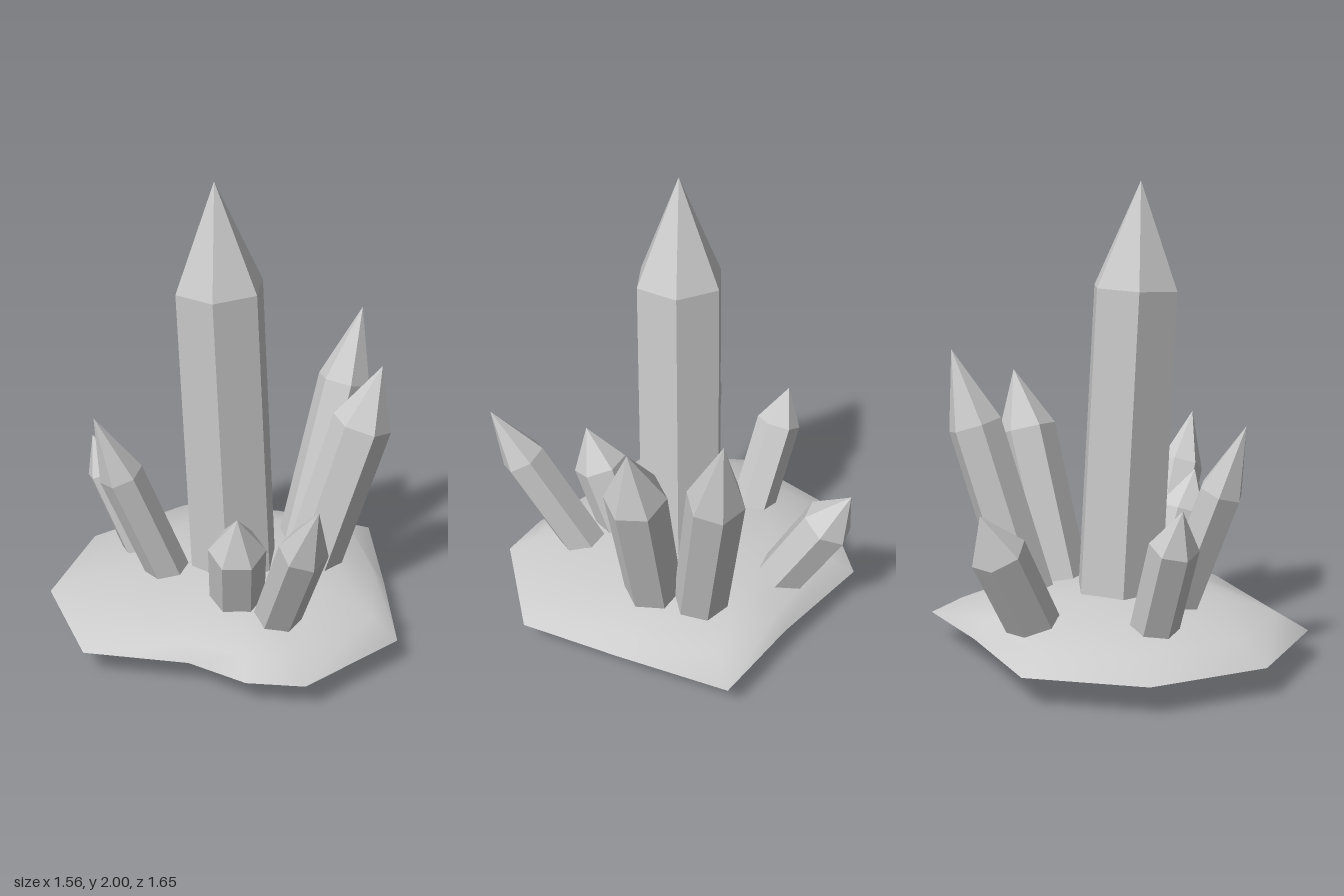
import * as THREE from 'three';

const UP = new THREE.Vector3(0, 1, 0);

// Six-sided pointed crystal from base centre to tip; twist turns its corners about its axis
function crystal(name, base, tip, shoulder, rBase, rTop, twist, material) {
  const from = new THREE.Vector3(...base);
  const axis = new THREE.Vector3(...tip).sub(from);
  const length = axis.length();
  const profile = [[0, 0], [rBase, 0], [rTop, length * shoulder], [0, length]]
    .map(([r, y]) => new THREE.Vector2(r, y));
  const phi = THREE.MathUtils.degToRad(90 - twist);
  const geometry = new THREE.LatheGeometry(profile, 6, phi).toNonIndexed();
  geometry.computeVertexNormals(); // one normal per face
  const mesh = new THREE.Mesh(geometry, material);
  mesh.name = name;
  mesh.position.copy(from);
  mesh.quaternion.setFromUnitVectors(UP, axis.normalize());
  return mesh;
}

// Low rocky mound: rim outline that rounds off as it rises, with a flat underside
function mound(material) {
  const rim = [
    [0.755, -0.255], [0.75, 0.26], [0.58, 0.43], [0.325, 0.525], [-0.01, 0.82], [-0.5, 0.67],
    [-0.78, 0.245], [-0.755, -0.255], [-0.34, -0.55], [-0.01, -0.83], [0.4, -0.53],
  ];
  // scale, height, roundness
  const rings = [[1, 0.12, 0], [0.87, 0.195, 0.45], [0.6, 0.245, 0.7], [0.3, 0.275, 1]];
  const n = rim.length, pos = [], index = [];
  for (const [s, y, round] of rings) {
    for (const [x, z] of rim) {
      const r = Math.hypot(x, z);
      const k = s * THREE.MathUtils.lerp(r, 0.74, round) / r;
      pos.push(x * k, y, z * k);
    }
  }
  const top = pos.length / 3;
  pos.push(0, 0.285, 0);
  for (let j = 0; j < rings.length; j++) {
    for (let i = 0; i < n; i++) {
      const a = j * n + i, b = j * n + (i + 1) % n;
      if (j === rings.length - 1) index.push(a, top, b);
      else index.push(a, a + n, b, b, a + n, b + n);
    }
  }
  // underside with its own rim so the edge stays sharp
  const bottom = top + 1;
  pos.push(0, 0.12, 0);
  for (const [x, z] of rim) pos.push(x, 0.12, z);
  for (let i = 0; i < n; i++) index.push(bottom, bottom + 1 + i, bottom + 1 + (i + 1) % n);

  const geometry = new THREE.BufferGeometry();
  geometry.setAttribute('position', new THREE.Float32BufferAttribute(pos, 3));
  geometry.setIndex(index);
  geometry.computeVertexNormals();
  const mesh = new THREE.Mesh(geometry, material);
  mesh.name = 'rockBase';
  return mesh;
}

export function createModel() {
  const stone = new THREE.MeshStandardMaterial({ color: 0xcccccc });
  stone.name = 'pale grey stone';
  const group = new THREE.Group();
  group.name = 'crystalCluster';
  group.add(mound(stone));

  // name, base, tip, shoulder fraction, base radius, shoulder radius, twist
  const crystals = [
    ['mainCrystal', [-0.01, 0.05, 0], [-0.02, 2, 0.1], 0.775, 0.2, 0.19, -13],
    ['backCrystal', [0, 0.04, -0.34], [0, 1.29, -0.72], 0.74, 0.12, 0.12, 30],
    ['backLeftCrystal', [0.15, 0.03, -0.235], [0.33, 1.165, -0.525], 0.77, 0.125, 0.13, 20],
    ['leftCrystal', [0.33, 0.05, 0.1], [0.78, 0.92, 0.24], 0.73, 0.1, 0.1, 15],
    ['frontLeftCrystal', [0.17, 0.05, 0.14], [0.36, 0.725, 0.295], 0.74, 0.115, 0.12, 10],
    ['frontCrystal', [-0.12, 0.04, 0.2], [-0.25, 1.035, 0.56], 0.72, 0.095, 0.095, 0],
    ['frontRightCrystal', [-0.35, 0.05, 0.17], [-0.6, 0.76, 0.345], 0.78, 0.1, 0.1, 20],
    ['backRightCrystal', [-0.33, 0.05, -0.23], [-0.635, 0.72, -0.44], 0.75, 0.11, 0.115, 5],
  ];
  for (const c of crystals) group.add(crystal(...c, stone));
  return group;
}
